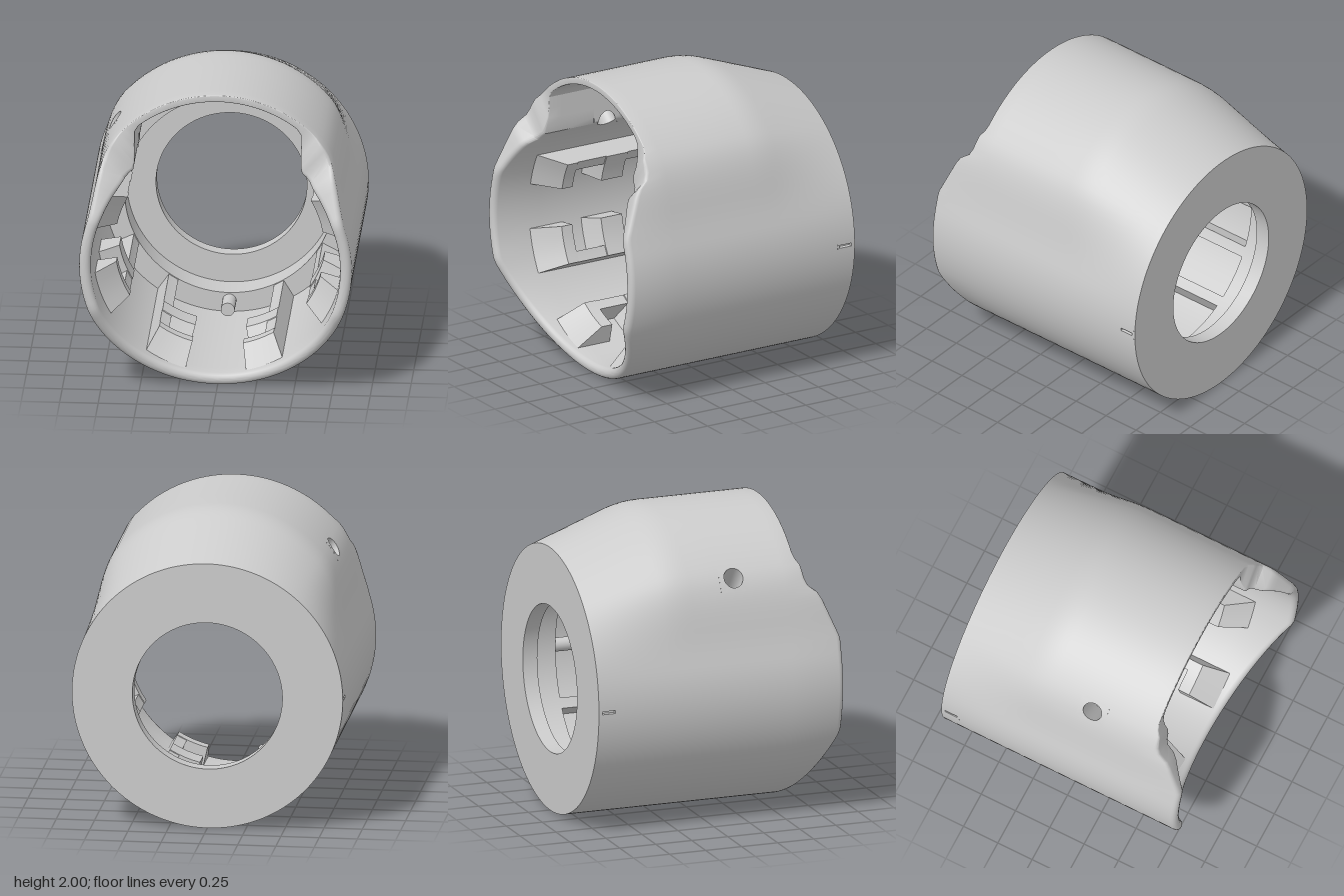
import * as THREE from 'three';
import { toCreasedNormals } from 'three/addons/utils/BufferGeometryUtils.js';

const { smoothstep, degToRad, clamp, lerp } = THREE.MathUtils;
const CY = 0.89, R = 0.885, R_IN = 0.81, SHELF = -0.55;
const STEP = 2.5, COLUMNS = 360 / STEP;

// Polar point around the housing axis; phi in degrees, 0 at the top, 90 at +x
const polar = (phi, r, z) => {
  const a = degToRad(phi);
  return [r * Math.sin(a), CY + r * Math.cos(a), z];
};

// Height of the top hump, sloping away towards the back
function lift(z) {
  const t = clamp((z + 0.35) / 0.2, 0, 1);
  if (z < -0.35) return 0.375 * (z + 0.85);
  return 0.1875 + 0.0375 * (2 * t - t * t);
}

const shifted = (phi, r, d) => {
  const a = degToRad(phi);
  return d * Math.cos(a) + Math.sqrt(r * r - (d * Math.sin(a)) ** 2);
};

function outerR(phi, z) {
  const p = Math.abs(phi);
  if (p >= 76) return R;
  return R + (shifted(p, R, lift(z)) - R) * (1 - smoothstep(p, 40, 76));
}

function innerR(phi, z) {
  const p = Math.abs(phi);
  if (p > 60) return R_IN;
  const side = p < 1 ? 9 : 0.54 / Math.sin(degToRad(p));
  return Math.max(R_IN, Math.min(shifted(p, 0.84, lift(z)), side));
}

// Front edge by height
const EDGE = [[0, 0.62], [0.57, 0.855], [1.22, 0.855], [1.48, 0.75], [1.53, 0.72],
  [1.58, 0.65], [1.69, 0.63], [1.74, 0.595], [2.1, 0.595]];
function frontZ(phi) {
  const y = polar(phi, outerR(phi, 0.5), 0)[1];
  const i = Math.max(1, EDGE.findIndex(e => e[0] >= y));
  const [a, b] = [EDGE[i - 1], EDGE[i]];
  return lerp(a[1], b[1], clamp((y - a[0]) / (b[0] - a[0]), 0, 1));
}

const OUT_Z = [-0.85, -0.84, -0.72, -0.58, -0.45, -0.35, -0.3, -0.25, -0.2, -0.15, 0.055, 0.255, 0.5];
const IN_Z = [0.5, 0.255, 0.055, -0.15, -0.2, -0.25, -0.3, -0.35, -0.45, SHELF];

// Closed wall section at one angle: outside, rounded rim, inside, shelf, back plate
function section(phi) {
  const zf = frontZ(phi), ro = outerR(phi, zf), ri = innerR(phi, zf);
  const f = lerp(0.006, 0.035, smoothstep(Math.abs(phi), 34, 50));
  const pts = OUT_Z.map(z => [outerR(phi, z), z]);
  for (let k = 0; k <= 4; k++) {
    const t = k * Math.PI / 8;
    pts.push([ro - f + f * Math.cos(t), zf - f + f * Math.sin(t)]);
  }
  for (let k = 0; k <= 4; k++) {
    const t = k * Math.PI / 8;
    pts.push([ri + f - f * Math.sin(t), zf - f + f * Math.cos(t)]);
  }
  IN_Z.forEach(z => pts.push([innerR(phi, z), z]));
  pts.push([0.68, SHELF], [0.68, -0.75], [0.49, -0.75], [0.49, -0.85]);
  return pts;
}

// Openings: a, b = half size of the replaced patch; ca, cb = half size of the cut
const CUTS = [
  ...[90, -90, 180].map(phi => ({ phi, z: -0.78, a: 2.5, b: 0.06, ca: 0.65, cb: 0.045, depth: 0.03 })),
  { phi: 180, z: -0.65, a: 5, b: 0.07, ca: 2.7, cb: 0.042, depth: 0.03, round: true },
  { phi: -42.5, z: 0.155, a: 5, b: 0.1, ca: 3.6, cb: 0.065, round: true, through: true },
];
const angleGap = (a, b) => Math.abs(((a - b + 540) % 360) - 180);

function shellGeometry() {
  const pos = [];
  const quad = (a, b, c, d) => pos.push(...a, ...b, ...c, ...a, ...c, ...d);
  const innerStart = OUT_Z.length + 10;

  for (let i = 0; i < COLUMNS; i++) {
    const p0 = -180 + i * STEP, p1 = p0 + STEP;
    const s0 = section(p0), s1 = section(p1), n = s0.length;
    for (let j = 0; j < n; j++) {
      const k = (j + 1) % n;
      const zm = (s0[j][1] + s0[k][1]) / 2;
      const outside = j < OUT_Z.length - 1;
      const inside = j >= innerStart && j < innerStart + IN_Z.length - 1;
      const open = CUTS.some(c => (outside || (inside && c.through)) &&
        angleGap(p0 + STEP / 2, c.phi) < c.a && Math.abs(zm - c.z) < c.b);
      if (open) continue;
      quad(polar(p0, ...s0[j]), polar(p0, ...s0[k]), polar(p1, ...s1[k]), polar(p1, ...s1[j]));
    }
  }

  // Patches joining the wall to each opening
  const N = 32;
  for (const c of CUTS) {
    const at = (k, a, b, round, radius) => {
      const t = k * 2 * Math.PI / N, u = Math.cos(t), v = Math.sin(t);
      const m = round ? 1 : Math.max(Math.abs(u), Math.abs(v));
      let phi = c.phi + a * u / m;
      const z = c.z + b * v / m;
      if (phi > 180) phi -= 360;
      return polar(phi, radius(phi, z), z);
    };
    const low = c.through ? innerR : (p, z) => outerR(p, z) - c.depth;
    const centre = polar(c.phi, low(c.phi, c.z), c.z);
    for (let k = 0; k < N; k++) {
      const edge = r => [at(k, c.a, c.b, false, r), at(k + 1, c.a, c.b, false, r)];
      const cut = r => [at(k, c.ca, c.cb, c.round, r), at(k + 1, c.ca, c.cb, c.round, r)];
      const [e0, e1] = edge(outerR), [h0, h1] = cut(outerR), [l0, l1] = cut(low);
      quad(e0, h0, h1, e1);
      quad(h0, l0, l1, h1);
      if (c.through) {
        const [f0, f1] = edge(innerR);
        quad(f0, f1, l1, l0);
      } else pos.push(...centre, ...l1, ...l0);
    }
  }
  const g = new THREE.BufferGeometry();
  g.setAttribute('position', new THREE.Float32BufferAttribute(pos, 3));
  return toCreasedNormals(g, 0.55);
}

// Curved block on the inner wall, its front sloping back towards the axis
function sector(p0, p1, rIn, zBack, zFront, slope) {
  const g = new THREE.BoxGeometry(1, 1, 1, 4, 1, 1).toNonIndexed();
  const a = g.attributes.position;
  for (let i = 0; i < a.count; i++) {
    const phi = lerp(p0, p1, a.getX(i) + 0.5);
    const outer = a.getY(i) > 0;
    const z = a.getZ(i) < 0 ? zBack : zFront - (outer ? 0 : slope);
    a.setXYZ(i, ...polar(phi, outer ? R_IN + 0.015 : rIn, z));
  }
  return toCreasedNormals(g, 0.4);
}

export function createModel() {
  const group = new THREE.Group();
  const material = new THREE.MeshStandardMaterial({ color: 0xcccccc });
  const add = (name, geometry, parent = group) => {
    const mesh = new THREE.Mesh(geometry, material);
    mesh.name = name;
    parent.add(mesh);
    return mesh;
  };

  add('housingShell', shellGeometry());

  // Guide rails: a thin strip away from the pin and two full-width teeth
  const rails = [[10, 29], [168, 151], [190, 211], [255, 235], [283, 301], [-16, -34]];
  rails.forEach(([near, far]) => {
    const rail = new THREE.Group();
    rail.name = 'guideRail';
    group.add(rail);
    const span = (a, b) => [90 - Math.max(a, b), 90 - Math.min(a, b)];
    const full = span(near, far);
    const strip = span(far, far + Math.sign(near - far) * 6);
    add('railStrip', sector(...strip, 0.685, SHELF - 0.01, 0.4, 0), rail);
    add('frontTooth', sector(...full, 0.68, 0.34, 0.6, 0.18), rail);
    add('middleTooth', sector(...full, 0.68, -0.04, 0.2, 0.08), rail);
  });

  // Locating pins on the shelf
  [90, -90, 180].forEach(phi => {
    const pin = add('locatingPin', new THREE.CylinderGeometry(0.045, 0.045, 0.18, 24));
    pin.rotation.x = Math.PI / 2;
    pin.position.set(...polar(phi, 0.735, SHELF + 0.08));
  });
  return group;
}
